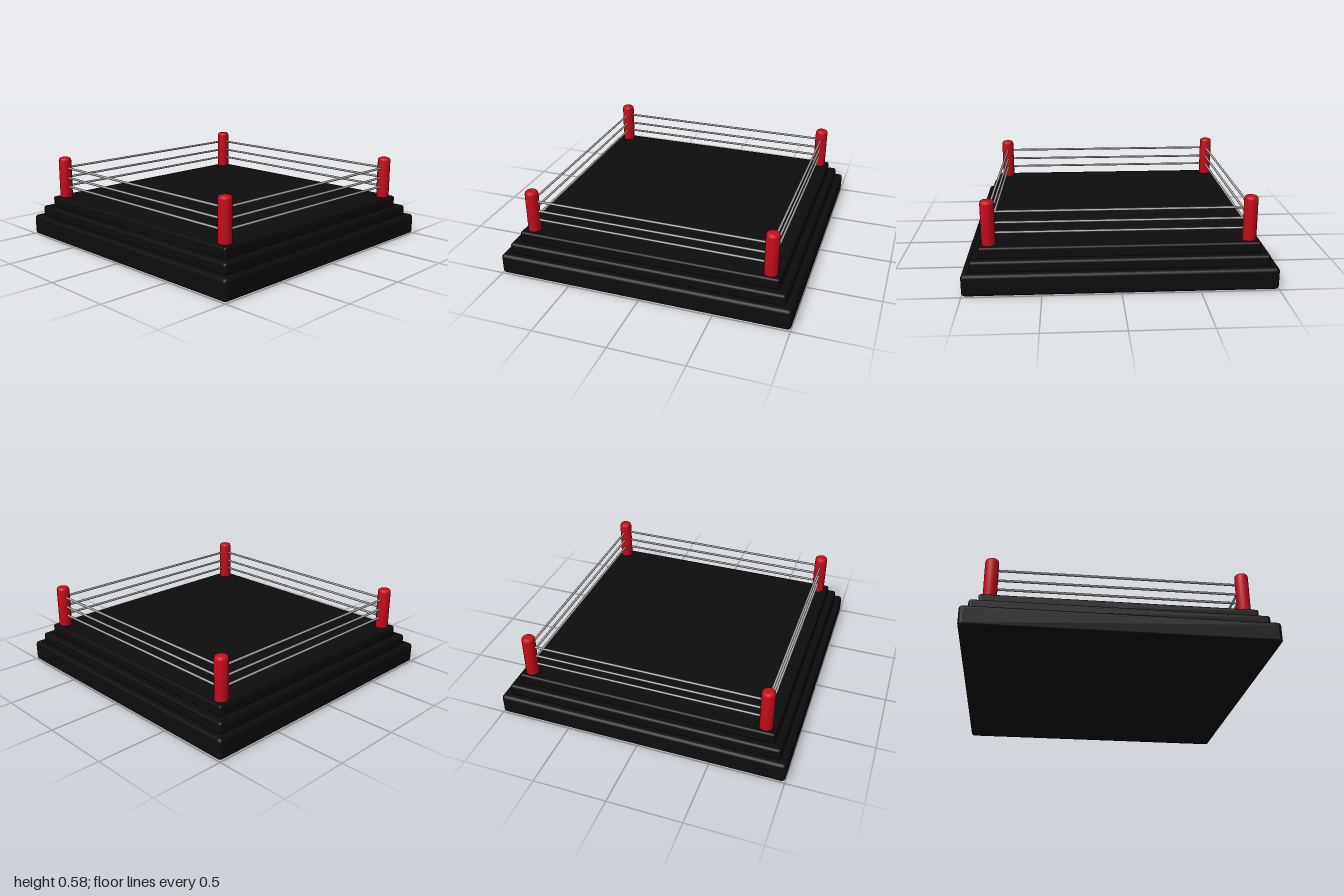
import * as THREE from 'three';
import { RoundedBoxGeometry } from 'three/addons/geometries/RoundedBoxGeometry.js';

const black = new THREE.MeshStandardMaterial({ color: 0x0d0d0d });
const red = new THREE.MeshStandardMaterial({ color: 0xcc0c1c });
const grey = new THREE.MeshStandardMaterial({ color: 0xaaaaaa });

export function createModel() {
  const ring = new THREE.Group();
  ring.name = 'boxingRing';

  const add = (name, geometry, material, x = 0, y = 0, z = 0) => {
    const mesh = new THREE.Mesh(geometry, material);
    mesh.name = name;
    mesh.position.set(x, y, z);
    ring.add(mesh);
    return mesh;
  };

  // Stepped platform: name, width, bottom, top, edge radius
  for (const [name, width, bottom, top, radius] of [
    ['base', 2, 0, 0.145, 0.025],
    ['step', 1.9, 0.12, 0.215, 0.02],
    ['ringFloor', 1.79, 0.19, 0.285, 0.015],
  ]) {
    const box = new RoundedBoxGeometry(width, top - bottom, width, 4, radius);
    add(name, box, black, 0, (bottom + top) / 2, 0);
  }

  // Corner posts with softened tops
  const corners = [[-0.83, 0.82], [0.82, 0.82], [0.832, -0.825], [-0.83, -0.825]];
  const profile = [
    [0, 0.27], [0.045, 0.27], [0.045, 0.555], [0.042, 0.567], [0.035, 0.574], [0.025, 0.577], [0, 0.577],
  ].map(([x, y]) => new THREE.Vector2(x, y));
  const postGeometry = new THREE.LatheGeometry(profile, 32);
  for (const [x, z] of corners) add('cornerPost', postGeometry, red, x, 0, z);

  // Three ropes between each pair of neighbouring posts
  corners.forEach(([x, z], i) => {
    const [nextX, nextZ] = corners[(i + 1) % 4];
    for (const y of [0.362, 0.428, 0.5]) {
      const span = new THREE.LineCurve3(new THREE.Vector3(x, y, z), new THREE.Vector3(nextX, y, nextZ));
      add('rope', new THREE.TubeGeometry(span, 1, 0.008, 12), grey);
    }
  });

  return ring;
}
